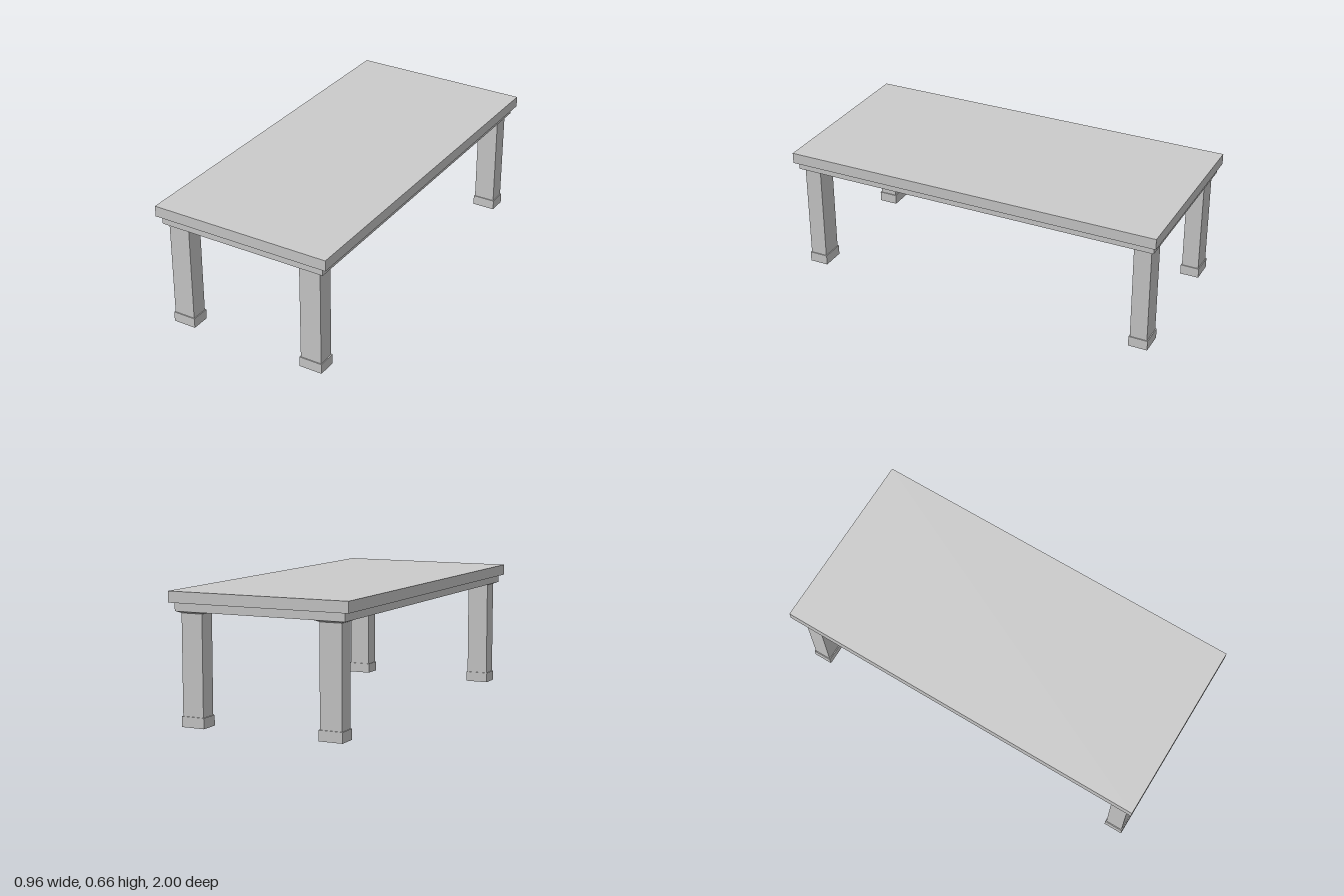
import * as THREE from 'three';

const material = new THREE.MeshStandardMaterial({ color: 0xcccccc, flatShading: true });

// Box given by its size and the heights of its bottom and top
function slab(name, width, depth, bottom, top) {
  const mesh = new THREE.Mesh(new THREE.BoxGeometry(width, top - bottom, depth), material);
  mesh.name = name;
  mesh.position.y = (bottom + top) / 2;
  return mesh;
}

// Slab whose lower face is narrowed to the given size
function flare(name, width, depth, lowWidth, lowDepth, bottom, top) {
  const mesh = slab(name, width, depth, bottom, top);
  const p = mesh.geometry.attributes.position;
  for (let i = 0; i < p.count; i++) {
    if (p.getY(i) < 0) {
      p.setX(i, Math.sign(p.getX(i)) * lowWidth / 2);
      p.setZ(i, Math.sign(p.getZ(i)) * lowDepth / 2);
    }
  }
  mesh.geometry.computeVertexNormals();
  return mesh;
}

// Square post with a wider foot and a thin flared cap
function createLeg(name) {
  const leg = new THREE.Group();
  leg.name = name;
  leg.add(
    slab('foot', 0.124, 0.1, 0, 0.053),
    slab('post', 0.114, 0.09, 0.053, 0.556),
    flare('legCap', 0.165, 0.128, 0.114, 0.09, 0.556, 0.566)
  );
  return leg;
}

export function createModel() {
  const table = new THREE.Group();
  table.name = 'table';

  // Top board and the narrower apron below it
  table.add(slab('tableTop', 0.962, 2, 0.607, 0.663));
  table.add(slab('apron', 0.91, 1.964, 0.565, 0.607));

  // Four legs at the corners
  for (const [side, x] of [['Left', 1], ['Right', -1]]) {
    for (const [end, z] of [['front', 1], ['back', -1]]) {
      const leg = createLeg(end + side + 'Leg');
      leg.position.set(x * 0.372, 0, z * 0.918);
      table.add(leg);
    }
  }
  return table;
}
